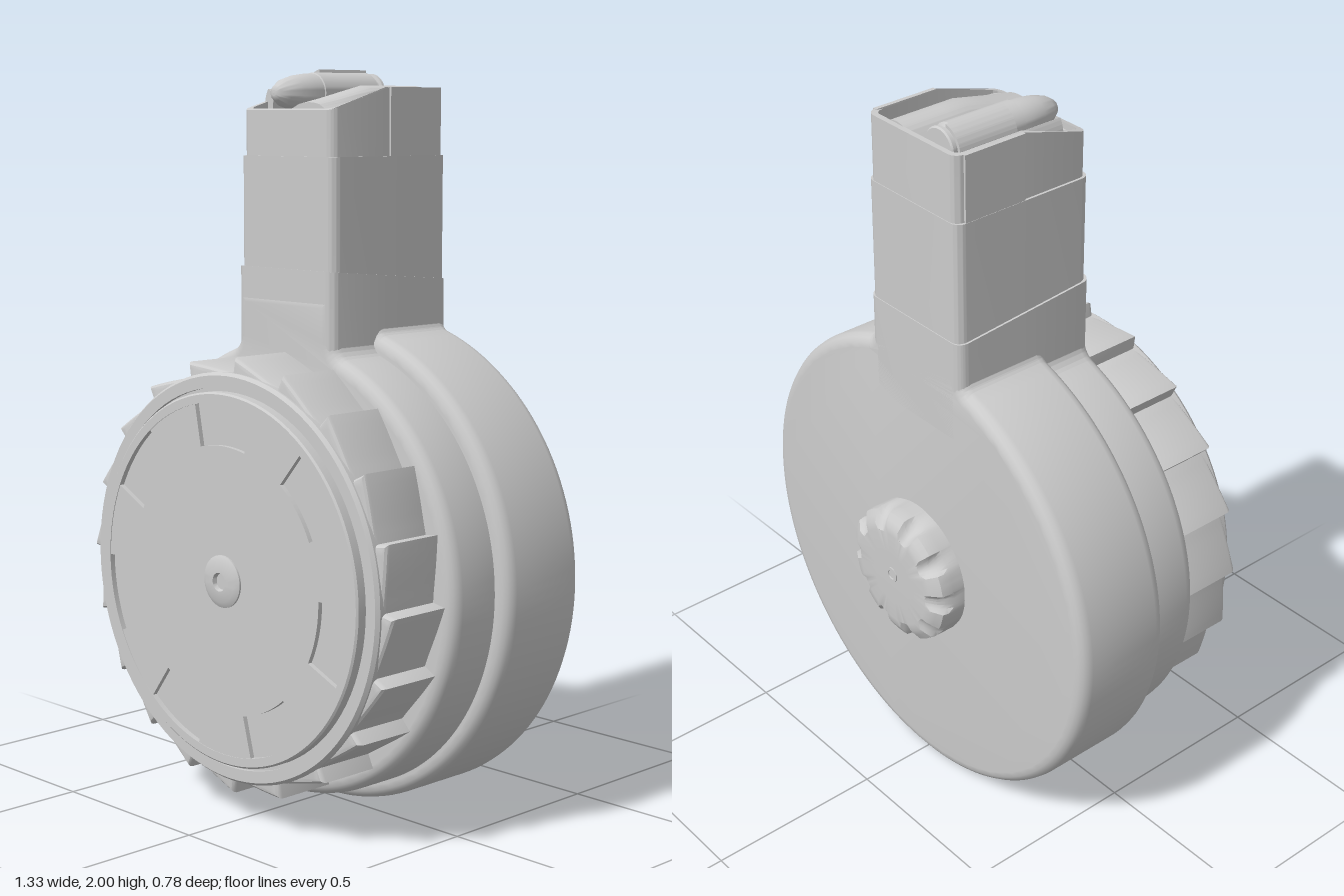
import * as THREE from 'three';
import { toCreasedNormals } from 'three/addons/utils/BufferGeometryUtils.js';

const CY = 0.665; // height of the drum axis
const material = new THREE.MeshStandardMaterial({ color: 0xcccccc, side: THREE.DoubleSide });

function add(group, name, geometry, x = 0, y = 0, z = 0, crease = 0.6) {
  const mesh = new THREE.Mesh(toCreasedNormals(geometry, crease), material);
  mesh.name = name;
  mesh.position.set(x, y, z);
  group.add(mesh);
  return mesh;
}

// Lathe about the z axis; profile is a list of [radius, z]
function turned(profile, segments = 96) {
  const points = profile.map(([r, z]) => new THREE.Vector2(r, z));
  return new THREE.LatheGeometry(points, segments).rotateX(Math.PI / 2);
}

// Extrusion from z0 to z1 with rounded ends that stay inside the outline
function slab(shape, z0, z1, bevel = 0, segments = 4) {
  return new THREE.ExtrudeGeometry(shape, {
    depth: z1 - z0 - 2 * bevel, bevelEnabled: bevel > 0, bevelSize: bevel,
    bevelThickness: bevel, bevelOffset: -bevel, bevelSegments: segments, curveSegments: 64,
  }).translate(0, 0, z0 + bevel);
}

// Drum outline blended into the neck by fillets
function drumShape(R, w, f) {
  const fy = Math.sqrt((R + f) ** 2 - (w + f) ** 2);
  const a = Math.atan2(fy, w + f);
  const s = new THREE.Shape();
  s.moveTo(w, 0.75);
  s.lineTo(-w, 0.75);
  s.lineTo(-w, fy);
  s.absarc(-w - f, fy, f, 0, -a, true);
  s.absarc(0, 0, R, Math.PI - a, 2 * Math.PI + a, false);
  s.absarc(w + f, fy, f, Math.PI + a, Math.PI, true);
  s.closePath();
  return s;
}

// Rounded rectangle in plan with an extra corner at z = split on both sides
function planPath(Type, w, zBack, zFront, r, split = -0.07) {
  const p = new Type();
  p.moveTo(w, -split);
  p.lineTo(w, -zBack - r);
  p.absarc(w - r, -zBack - r, r, 0, Math.PI / 2, false);
  p.absarc(-w + r, -zBack - r, r, Math.PI / 2, Math.PI, false);
  p.lineTo(-w, -split);
  p.lineTo(-w, -zFront + r);
  p.absarc(-w + r, -zFront + r, r, Math.PI, 1.5 * Math.PI, false);
  p.absarc(w - r, -zFront + r, r, 1.5 * Math.PI, 2 * Math.PI, false);
  p.closePath();
  return p;
}

// Upright tube whose top edge follows topAt(z)
function upright(shape, y0, topAt) {
  const g = new THREE.ExtrudeGeometry(shape, { depth: 1, bevelEnabled: false, curveSegments: 8 });
  g.rotateX(-Math.PI / 2);
  const p = g.attributes.position;
  for (let i = 0; i < p.count; i++) p.setY(i, p.getY(i) > 0.5 ? topAt(p.getZ(i)) : y0);
  return g;
}

function toothShape() {
  const s = new THREE.Shape(), teeth = 20, steps = 6;
  for (let i = 0; i < teeth; i++) {
    for (let j = 0; j <= steps; j++) {
      const t = j / steps;
      const a = (i + t * 0.96) / teeth * 2 * Math.PI;
      const r = 0.55 + 0.04 * t ** 1.5;
      s[i + j ? 'lineTo' : 'moveTo'](r * Math.cos(a), r * Math.sin(a));
    }
  }
  s.closePath();
  return s;
}

// Round plate with pockets cut into its edge
function pocketShape(count, outer, inner, half) {
  const s = new THREE.Shape(), pitch = 2 * Math.PI / count;
  for (let i = 0; i < count; i++) {
    const a = Math.PI / 2 + i * pitch;
    s.absarc(0, 0, inner, a - half, a + half, false);
    s.absarc(0, 0, outer, a + half * 0.95, a + pitch - half * 0.95, false);
  }
  s.closePath();
  return s;
}

export function createModel() {
  const model = new THREE.Group();

  // Drum housing halves
  add(model, 'rearHousing', slab(drumShape(0.665, 0.182, 0.035), -0.29, 0, 0.035), 0, CY, 0);
  add(model, 'frontHousing', slab(drumShape(0.62, 0.182, 0.05), -0.06, 0.155, 0.035), 0, CY, 0);

  // Toothed winding ring and front cover
  add(model, 'toothedRing', slab(toothShape(), 0.14, 0.34, 0.015, 3), 0, CY, 0, 0.5);
  add(model, 'coverRim', turned([[0.55, 0.15], [0.55, 0.345], [0.542, 0.355], [0.51, 0.355], [0.51, 0.345],
    [0.5, 0.345], [0.5, 0.37], [0.495, 0.375], [0.472, 0.375], [0.472, 0.36], [0, 0.36]]), 0, CY, 0);
  add(model, 'coverPlate', slab(pocketShape(7, 0.473, 0.36, 0.24), 0.35, 0.373), 0, CY, 0);
  add(model, 'centreScrew', turned([[0.07, 0.37], [0.07, 0.378], [0.055, 0.386], [0.025, 0.388],
    [0.022, 0.376], [0, 0.376]], 40), 0, CY, 0);

  // Rear knob with scallops round its edge
  const knob = turned([[0, -0.385], [0.08, -0.385], [0.14, -0.384], [0.16, -0.382], [0.175, -0.373],
    [0.192, -0.362], [0.195, -0.345], [0.195, -0.325], [0.195, -0.28]], 120);
  const kp = knob.attributes.position;
  for (let i = 0; i < kp.count; i++) {
    const x = kp.getX(i), y = kp.getY(i), z = kp.getZ(i), r = Math.hypot(x, y);
    const deep = THREE.MathUtils.clamp((-0.318 - z) / 0.045, 0, 1);
    const wave = Math.max(0, Math.cos(10 * Math.atan2(y, x))) ** 0.7;
    const k = r > 0.145 ? 1 - 0.16 * deep * wave : 1;
    kp.setXY(i, x * k, y * k);
  }
  add(model, 'rearKnob', knob, 0, CY, 0);
  add(model, 'knobPin', turned([[0.012, -0.38], [0.014, -0.388], [0.022, -0.388], [0.022, -0.37]], 24), 0, CY + 0.01, 0);

  // Neck: lower collar, sleeve and hollow upper tube
  add(model, 'neckCollar', upright(planPath(THREE.Shape, 0.185, -0.29, 0.153, 0.03), 1.15,
    (z) => 1.462 + 0.09 * z));
  add(model, 'neckSleeve', upright(planPath(THREE.Shape, 0.179, -0.288, 0.146, 0.028), 1.4, () => 1.77));
  const lipHeight = (z) => 1.95 - 0.06 * Math.max(0, z + 0.07) / 0.21;
  const tube = planPath(THREE.Shape, 0.172, -0.286, 0.141, 0.028);
  tube.holes.push(planPath(THREE.Path, 0.158, -0.27, 0.125, 0.02));
  add(model, 'neckTube', upright(tube, 1.7, lipHeight));
  for (const side of [-1, 1]) {
    add(model, 'neckSidePanel', new THREE.BoxGeometry(0.012, 0.2, 0.19), side * 0.172, 1.85, -0.165);
  }

  // Follower: wavy platform with a ridge beside the round, tapering to the front
  const wave = new THREE.Shape();
  wave.moveTo(-0.16, 1.75);
  wave.lineTo(0.16, 1.75);
  wave.lineTo(0.16, 1.9);
  wave.splineThru([[0.13, 1.915], [0.105, 1.945], [0.07, 1.955], [0.035, 1.945], [0.005, 1.915], [-0.03, 1.89]]
    .map(([x, y]) => new THREE.Vector2(x, y)));
  wave.lineTo(-0.16, 1.87);
  wave.closePath();
  const follower = new THREE.ExtrudeGeometry(wave, { depth: 0.397, steps: 6, bevelEnabled: false, curveSegments: 24 });
  follower.translate(0, 0, -0.271);
  const fp = follower.attributes.position;
  for (let i = 0; i < fp.count; i++) {
    const t = THREE.MathUtils.clamp((fp.getZ(i) + 0.07) / 0.19, 0, 1);
    const y = fp.getY(i);
    if (y > 1.88) fp.setY(i, y - t * (y - 1.88) * 0.6);
  }
  add(model, 'follower', follower);

  // Top round lying in the mouth
  add(model, 'topRound', turned([[0, -0.262], [0.05, -0.262], [0.054, -0.258], [0.054, -0.25], [0.046, -0.247],
    [0.046, -0.238], [0.056, -0.23], [0.055, -0.03], [0.052, -0.028], [0.052, 0.0], [0.047, 0.04],
    [0.036, 0.08], [0.02, 0.104], [0.008, 0.111], [0, 0.112]], 40), -0.08, 1.935, 0);

  // Feed lip curling over the round
  const lip = new THREE.Shape();
  lip.absarc(0, 0, 0.066, 1.75, 3.5, false);
  lip.absarc(0, 0, 0.057, 3.5, 1.75, true);
  lip.closePath();
  add(model, 'feedLip', slab(lip, -0.25, -0.07), -0.082, 1.934, 0);
  const lowLip = new THREE.Shape();
  lowLip.absarc(0, 0, 0.09, 2.6, 3.5, false);
  lowLip.absarc(0, 0, 0.058, 3.5, 2.6, true);
  lowLip.closePath();
  add(model, 'feedLipFront', slab(lowLip, -0.08, 0.06), -0.08, 1.9, 0);

  return model;
}
